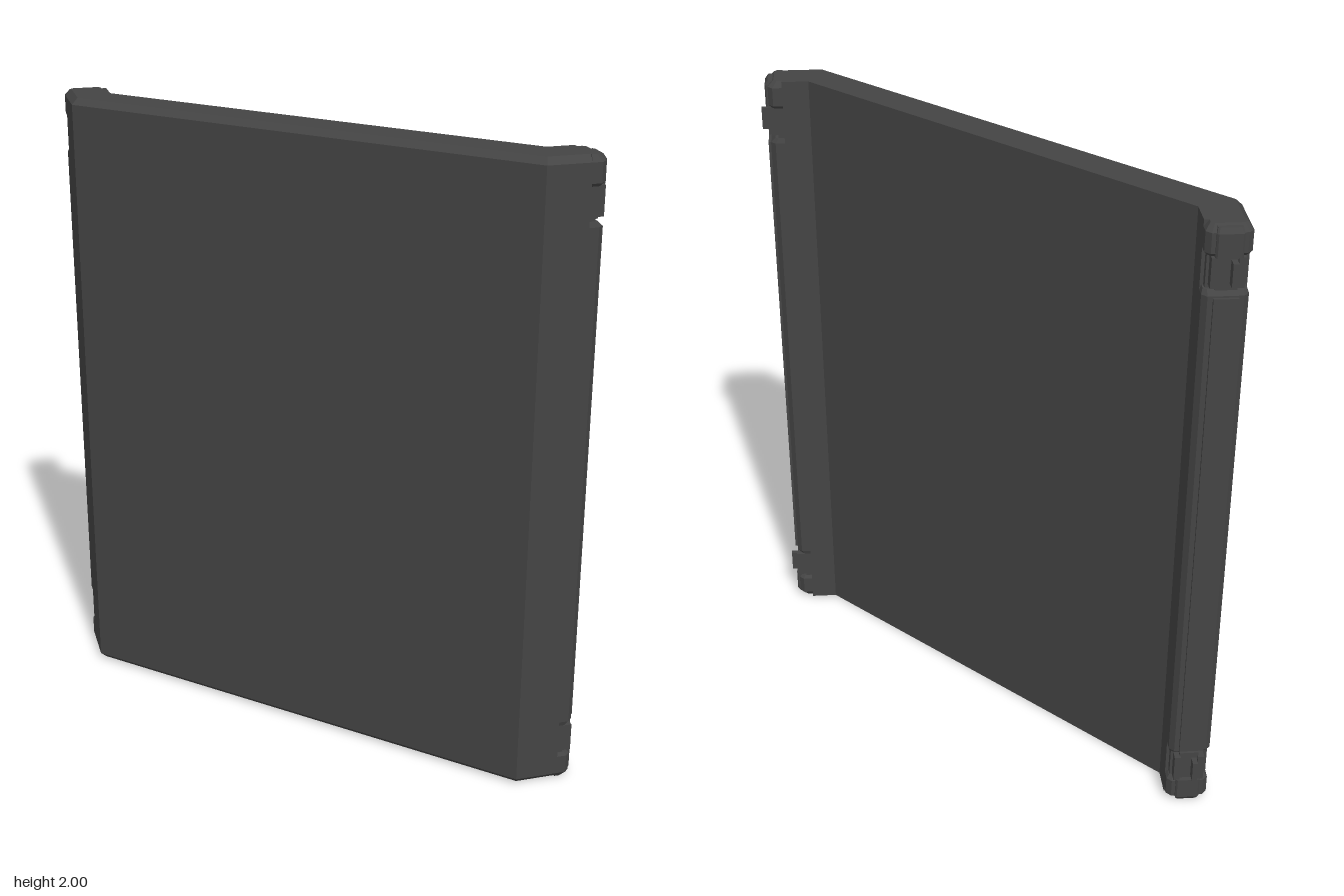
import * as THREE from 'three';

const material = new THREE.MeshStandardMaterial({ color: 0x444444, flatShading: true });

// Solid through stacked [y, outline] sections; outlines are [x, z] corners.
function loft(name, levels) {
  const pos = [];
  const n = levels[0][1].length;
  const contour = levels[0][1].map(p => new THREE.Vector2(p[0], p[1]));
  const flip = THREE.ShapeUtils.area(contour) < 0;
  const tri = (a, b, c) => pos.push(...a, ...(flip ? c : b), ...(flip ? b : c));
  const rings = levels.map(([y, pts]) => pts.map(([x, z]) => [x, y, z]));
  for (let k = 0; k < rings.length - 1; k++) {
    for (let i = 0; i < n; i++) {
      const j = (i + 1) % n, a = rings[k], b = rings[k + 1];
      tri(a[i], b[i], b[j]);
      tri(a[i], b[j], a[j]);
    }
  }
  // Caps, wound by the sign of each triangle in plan
  const cap = (ring, up) => {
    const pts = ring.map(p => new THREE.Vector2(p[0], p[2]));
    for (const [i, j, k] of THREE.ShapeUtils.triangulateShape(pts, [])) {
      const s = THREE.ShapeUtils.area([pts[i], pts[j], pts[k]]) < 0;
      pos.push(...ring[i], ...ring[s === up ? j : k], ...ring[s === up ? k : j]);
    }
  };
  cap(rings[0], false);
  cap(rings[rings.length - 1], true);
  const g = new THREE.BufferGeometry();
  g.setAttribute('position', new THREE.Float32BufferAttribute(pos, 3));
  g.computeVertexNormals();
  const mesh = new THREE.Mesh(g, material);
  mesh.name = name;
  return mesh;
}

function box(name, x0, x1, y0, y1, z0, z1) {
  const mesh = new THREE.Mesh(new THREE.BoxGeometry(x1 - x0, y1 - y0, z1 - z0), material);
  mesh.position.set((x0 + x1) / 2, (y0 + y1) / 2, (z0 + z1) / 2);
  mesh.name = name;
  return mesh;
}

// Diagonal panel with two short returns; d insets its front edge only
const panelOutline = d => [
  [-0.67 + d, -0.6], [-0.67 + d, -0.465 - 0.414 * d],
  [0.465 + 0.414 * d, 0.67 - d], [0.6, 0.67 - d],
  [0.6, 0.54], [0.515, 0.54], [-0.54, -0.515], [-0.54, -0.6],
];

// End section projecting along +x with chamfered corners
const endOutline = (reach, half, c) => [
  [0, -half], [reach - c, -half], [reach, -half + c],
  [reach, half - c], [reach - c, half], [0, half],
];

// Corner block, recessed clip and pin for the upper half of an end
function corner() {
  const g = new THREE.Group();
  g.name = 'cornerConnector';
  g.add(loft('cornerBlock', [
    [1.91, endOutline(0.035, 0.057, 0.01)], [1.92, endOutline(0.045, 0.065, 0.015)],
    [1.98, endOutline(0.045, 0.065, 0.015)], [2, endOutline(0.025, 0.05, 0.01)],
  ]));
  g.add(loft('cornerTab', [
    [1.91, endOutline(0.055, 0.038, 0.005)], [1.98, endOutline(0.055, 0.038, 0.005)],
    [1.995, endOutline(0.045, 0.034, 0.005)],
  ]));
  g.add(box('recess', 0, 0.02, 1.8, 1.92, -0.055, 0.055));
  for (const s of [-1, 1]) {
    g.add(box('clipRail', 0, 0.05, 1.82, 1.91, s * 0.037 - 0.01, s * 0.037 + 0.01));
  }
  g.add(box('clipPlate', 0, 0.04, 1.81, 1.91, -0.03, 0.03));
  g.add(box('pin', 0, 0.07, 1.83, 1.9, -0.024, -0.008));
  return g;
}

function edge(name) {
  const g = new THREE.Group();
  g.name = name;
  g.add(loft('edgeStrip', [
    [0.19, endOutline(0.03, 0.06, 0.01)], [0.205, endOutline(0.045, 0.065, 0.015)],
    [1.795, endOutline(0.045, 0.065, 0.015)], [1.81, endOutline(0.03, 0.06, 0.01)],
  ]));
  g.add(box('edgeTongue', 0, 0.054, 0.21, 1.79, -0.035, 0.035));
  g.add(corner());
  // Lower corner: the upper one turned over, with the pin on the same side
  const lower = corner();
  lower.scale.y = -1;
  lower.position.y = 2;
  g.add(lower);
  return g;
}

export function createModel() {
  const group = new THREE.Group();
  group.name = 'angledWallPanel';
  group.add(loft('panel', [
    [0, panelOutline(0.02)], [0.02, panelOutline(0)],
    [1.98, panelOutline(0)], [2, panelOutline(0.02)],
  ]));

  const leftEdge = edge('leftEdge');
  leftEdge.position.set(0.6, 0, 0.605);
  const rearEdge = edge('rearEdge');
  rearEdge.rotation.y = Math.PI / 2;
  rearEdge.position.set(-0.605, 0, -0.6);
  group.add(leftEdge, rearEdge);
  return group;
}
